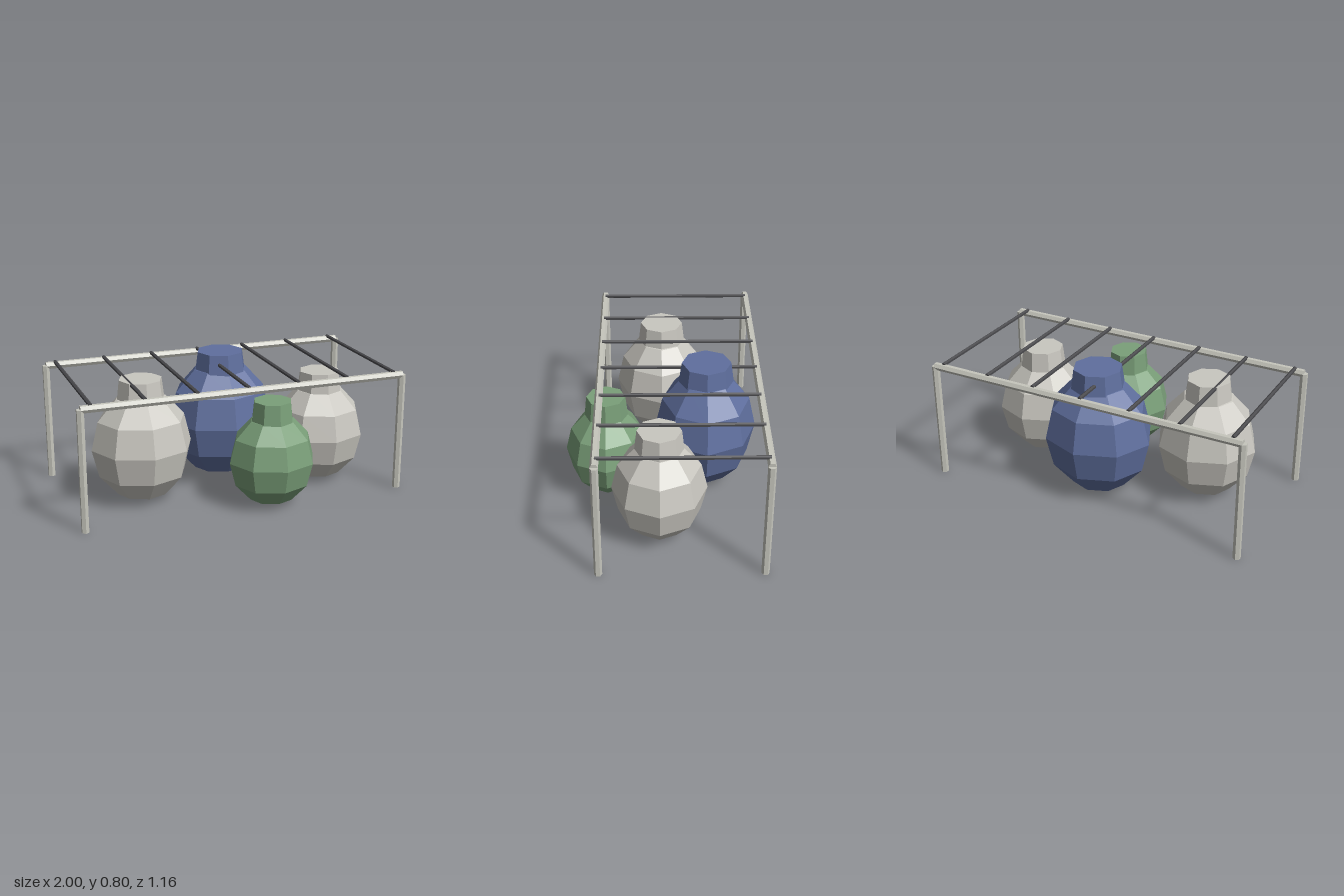
import * as THREE from 'three';

function material(name, color) {
  const m = new THREE.MeshStandardMaterial({ color, flatShading: true });
  m.name = name;
  return m;
}

export function createModel() {
  const model = new THREE.Group();
  model.name = 'potsUnderRack';

  const stone = material('pale stone', 0xc9c7c0);
  const blue = material('blue glaze', 0x5f6f9e);
  const green = material('green glaze', 0x7a9f79);
  const post = material('pale post', 0xc6c6bd);
  const iron = material('dark iron', 0x4b4b4e);

  function add(parent, name, geometry, mat, x, y, z) {
    const mesh = new THREE.Mesh(geometry, mat);
    mesh.name = name;
    mesh.position.set(x, y, z);
    parent.add(mesh);
    return mesh;
  }

  // Pots: eight-sided squashed spheres, each with a short tapered neck
  const pots = [
    // name, material, x, z, radii x y z, neck top height, neck top radius
    ['rightPot', stone, -0.537, 0, 0.305, 0.34, 0.28, 0.75, 0.129],
    ['backPot', blue, 0.049, -0.258, 0.334, 0.37, 0.3, 0.8, 0.145],
    ['leftPot', stone, 0.597, 0.024, 0.286, 0.31, 0.273, 0.695, 0.125],
    ['frontPot', green, 0.159, 0.332, 0.263, 0.28, 0.244, 0.64, 0.114],
  ];
  for (const [name, mat, x, z, rx, ry, rz, top, neckRadius] of pots) {
    const pot = new THREE.Group();
    pot.name = name;
    pot.position.set(x, 0, z);
    const body = new THREE.SphereGeometry(1, 8, 6).scale(rx, ry, rz);
    add(pot, 'potBody', body, mat, 0, ry, 0);
    const base = ry * 1.8;
    const neck = new THREE.CylinderGeometry(neckRadius, neckRadius * 1.13, top - base, 8);
    add(pot, 'potNeck', neck, mat, 0, (top + base) / 2, 0);
    model.add(pot);
  }

  // Rack: four hexagonal legs and two long rails
  const rack = new THREE.Group();
  rack.name = 'rack';
  model.add(rack);
  const legX = 0.979, frontZ = 0.366, backZ = -0.558, railY = 0.722, r = 0.023;
  for (const [side, z] of [['front', frontZ], ['back', backZ]]) {
    for (const x of [-legX, legX]) {
      const leg = new THREE.CylinderGeometry(r, r, railY, 6);
      add(rack, side + 'Leg', leg, post, x, railY / 2, z);
    }
    const rail = new THREE.CylinderGeometry(r, r, legX * 2, 6).rotateZ(Math.PI / 2);
    add(rack, side + 'Rail', rail, post, 0, railY, z);
  }

  // Seven thin rungs across the rails
  for (let i = -3; i <= 3; i++) {
    const rung = new THREE.CylinderGeometry(0.012, 0.012, frontZ - backZ, 6).rotateX(Math.PI / 2);
    add(rack, 'rung', rung, iron, i * 0.307, 0.742, (frontZ + backZ) / 2);
  }
  return model;
}
